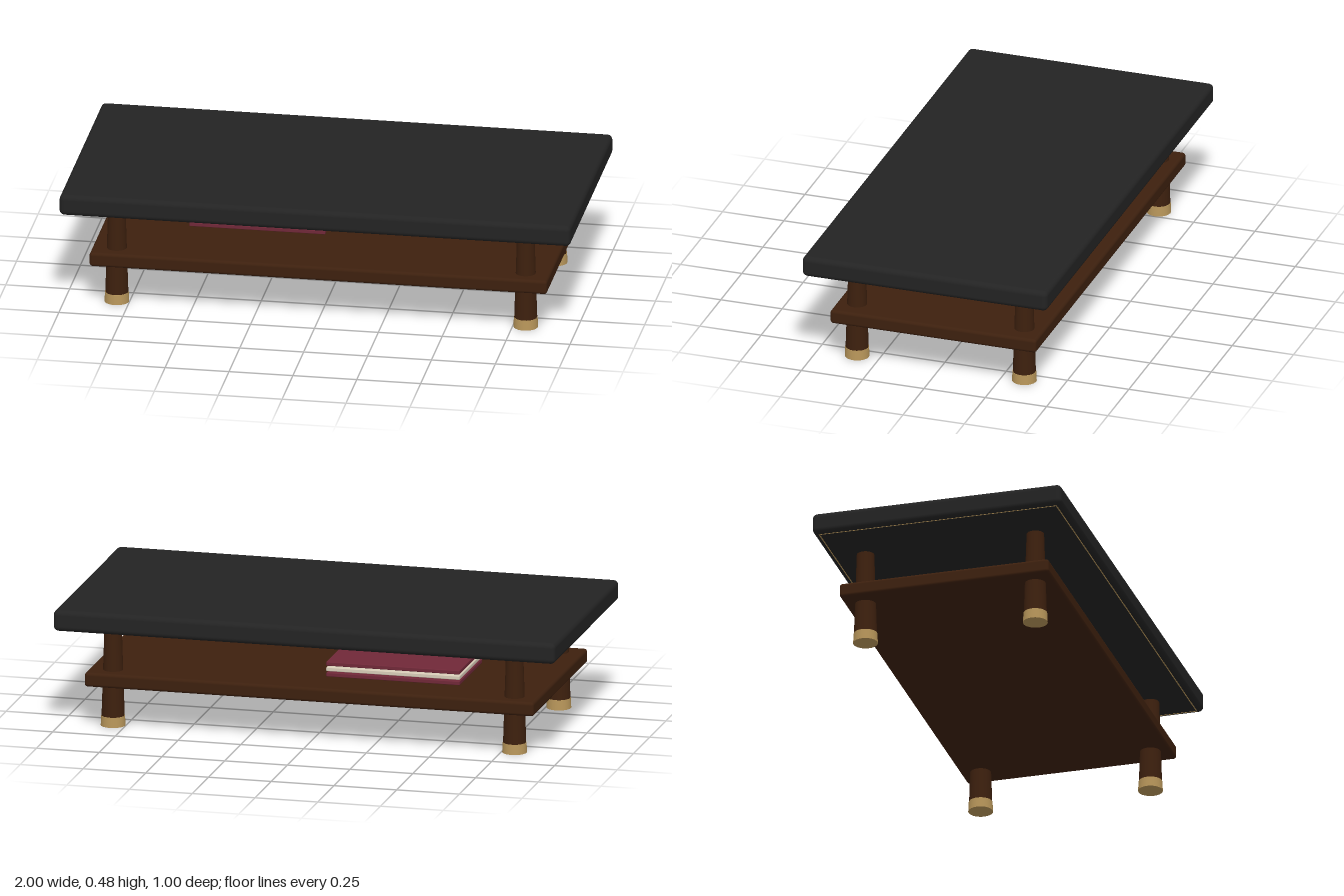
import * as THREE from 'three';
import { RoundedBoxGeometry } from 'three/addons/geometries/RoundedBoxGeometry.js';

const material = (name, color) => {
  const m = new THREE.MeshStandardMaterial({ color });
  m.name = name;
  return m;
};

export function createModel() {
  const black = material('charcoal', 0x232323);
  const wood = material('dark walnut', 0x3d200e);
  const brass = material('brass', 0xb8965a);
  const red = material('burgundy', 0x702838);
  const cream = material('cream', 0xd8cdb8);

  const model = new THREE.Group();
  model.name = 'coffeeTable';
  const add = (name, geometry, mat, x, y, z) => {
    const mesh = new THREE.Mesh(geometry, mat);
    mesh.name = name;
    mesh.position.set(x, y, z);
    model.add(mesh);
  };
  const slab = (w, h, d, r) => new RoundedBoxGeometry(w, h, d, 4, r);

  // Top and lower shelf
  add('tableTop', slab(2, 0.083, 1, 0.02), black, 0, 0.4425, 0);
  add('shelf', slab(1.79, 0.056, 0.84, 0.012), wood, 0, 0.194, 0);

  // Fine inlay line under the rim of the top
  for (const s of [-1, 1]) {
    add('inlayLong', new THREE.BoxGeometry(1.956, 0.003, 0.004), brass, 0, 0.4015, s * 0.476);
    add('inlayShort', new THREE.BoxGeometry(0.004, 0.003, 0.956), brass, s * 0.976, 0.4015, 0);
  }

  // Tapered legs with brass feet
  const leg = new THREE.CylinderGeometry(0.034, 0.045, 0.345, 24);
  const foot = new THREE.CylinderGeometry(0.046, 0.048, 0.04, 24);
  for (const x of [-0.8, 0.8]) {
    for (const z of [-0.341, 0.341]) {
      add('leg', leg, wood, x, 0.2035, z);
      add('foot', foot, brass, x, 0.02, z);
    }
  }

  // Stack of books on the shelf
  const book = slab(0.532, 0.016, 0.349, 0.003);
  [red, cream, red].forEach((mat, i) =>
    add('book', book, mat, -0.293, 0.235 + i * 0.0215, -0.083));

  return model;
}
